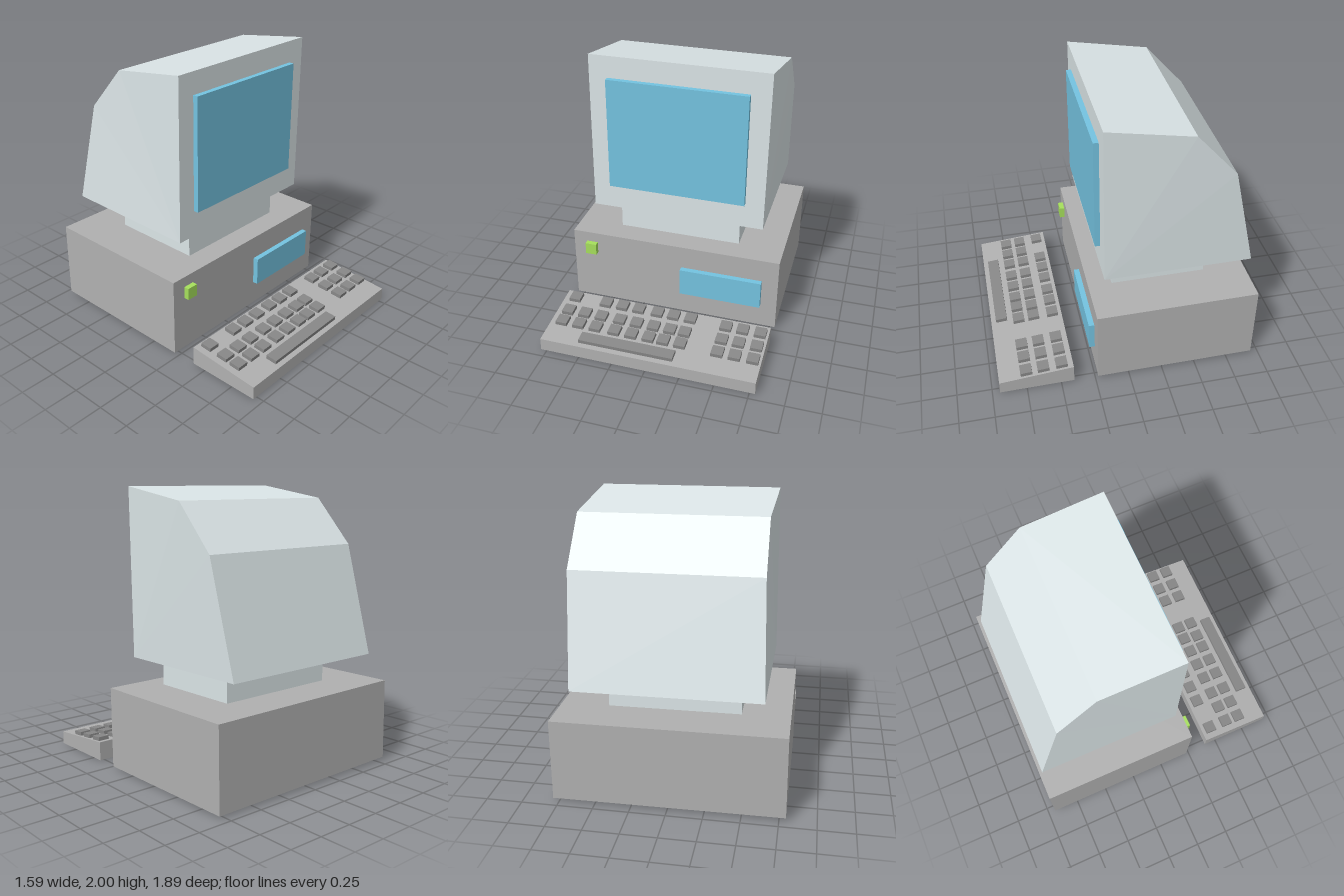
import * as THREE from 'three';

const paint = (color) => new THREE.MeshStandardMaterial({ color, flatShading: true });

export function createModel() {
  const model = new THREE.Group();
  const pale = paint(0xdbe5e7), grey = paint(0xb0b0b0), dark = paint(0x888888);
  const blue = paint(0x74c3e0), green = paint(0xa6e05c);

  function add(parent, name, geometry, material, tiltX = 0, tiltZ = 0) {
    const mesh = new THREE.Mesh(geometry, material);
    mesh.name = name;
    mesh.rotation.set(tiltX, 0, tiltZ);
    parent.add(mesh);
    return mesh;
  }

  // Box given by its limits on each axis, tilted about its own centre
  function box(parent, name, [x0, x1], [y0, y1], [z0, z1], material, tiltX, tiltZ) {
    const mesh = add(parent, name, new THREE.BoxGeometry(x1 - x0, y1 - y0, z1 - z0), material, tiltX, tiltZ);
    mesh.position.set((x0 + x1) / 2, (y0 + y1) / 2, (z0 + z1) / 2);
    return mesh;
  }

  // Side profile of [z, y] points extruded across x, centred on x = 0
  function sideProfile(points, width) {
    const shape = new THREE.Shape(points.map(([z, y]) => new THREE.Vector2(z, y)));
    const geometry = new THREE.ExtrudeGeometry(shape, { depth: width, bevelEnabled: false });
    return geometry.rotateY(-Math.PI / 2).translate(width / 2, 0, 0);
  }

  // Computer case and its front details
  box(model, 'case', [-0.795, 0.795], [0.02, 0.6], [-0.94, 0.23], grey, 0.008, -0.006);
  box(model, 'powerButton', [-0.69, -0.605], [0.43, 0.52], [0.2, 0.27], green, 0.008, -0.006);
  box(model, 'drivePanel', [0.06, 0.675], [0.2, 0.415], [0.2, 0.27], blue, 0.008, -0.006);

  // Monitor stand
  box(model, 'monitorStand', [-0.46, 0.46], [0.58, 0.84], [-0.63, 0.06], pale, 0.008, -0.006);

  // Monitor shell: each profile corner [z, y, sideways shift] leans slightly in x
  const corners = [
    [0.15, 0.81, 0.005], [0.16, 2.0, 0.02], [-0.43, 1.91, 0.045],
    [-0.72, 1.59, 0.04], [-0.91, 0.82, 0.01],
  ];
  const shell = sideProfile(corners, 1.285);
  const pos = shell.attributes.position;
  for (let i = 0; i < pos.count; i++) {
    const corner = corners.find(([z, y]) => Math.hypot(z - pos.getZ(i), y - pos.getY(i)) < 0.01);
    // The left side sits a touch lower on the screen face
    const drop = -0.006 * pos.getX(i);
    pos.setXYZ(i, pos.getX(i) + corner[2], pos.getY(i) + drop, pos.getZ(i));
  }
  shell.computeVertexNormals();
  add(model, 'monitor', shell, pale);
  box(model, 'screen', [-0.495, 0.515], [1.005, 1.84], [0.12, 0.193], blue, 0.009, -0.008);

  // Keyboard wedge
  const keyboard = new THREE.Group();
  keyboard.name = 'keyboard';
  keyboard.rotation.z = -0.006;
  model.add(keyboard);
  add(keyboard, 'keyboardBase', sideProfile([[0.945, 0.005], [0.945, 0.1], [0.405, 0.148], [0.405, 0.01]], 1.58), grey);

  // Keys follow the slope of the wedge
  const slope = Math.atan2(0.048, 0.54);
  function key(name, x, z, width) {
    const top = 0.1 + (0.945 - z) * Math.tan(slope);
    const mesh = add(keyboard, name, new THREE.BoxGeometry(width, 0.05, 0.085), dark, slope);
    mesh.position.set(x, top + 0.003, z);
  }
  const rows = [
    [0.475, [-0.7, -0.455, -0.325, -0.195, -0.05, 0.075, 0.205]],
    [0.62, [-0.7, -0.57, -0.44, -0.295, -0.165, -0.035, 0.09, 0.2]],
    [0.735, [-0.7, -0.57, -0.44, -0.295, -0.165, -0.035, 0.075, 0.2]],
  ];
  for (const [z, xs] of rows) for (const x of xs) key('key', x, z, 0.085);
  for (const z of [0.487, 0.62, 0.745]) for (const x of [0.475, 0.6, 0.73]) key('numberKey', x, z, 0.085);
  key('spaceBar', -0.16, 0.865, 0.7);

  return model;
}
